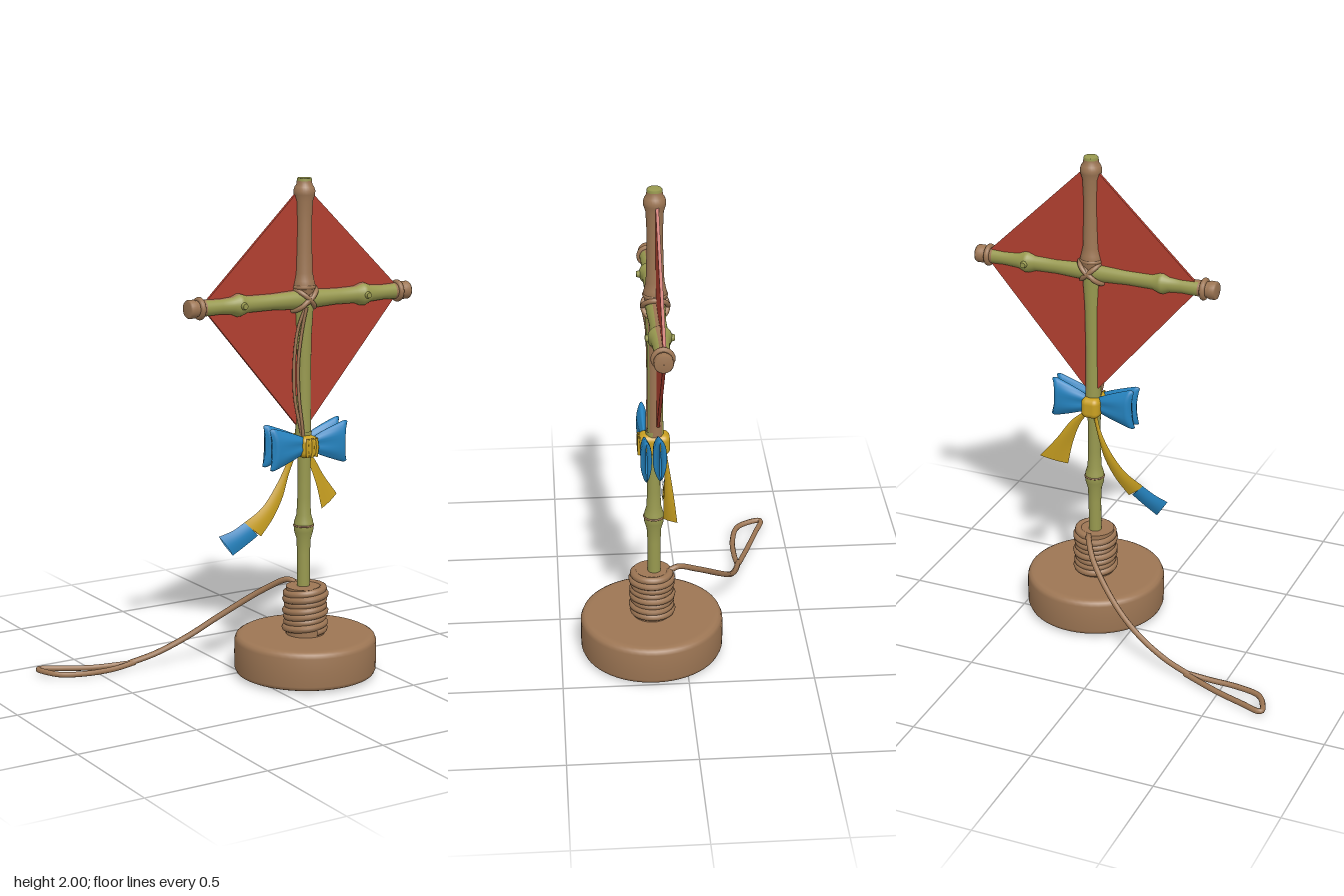
import * as THREE from 'three';
import { RoundedBoxGeometry } from 'three/addons/geometries/RoundedBoxGeometry.js';
import { ParametricGeometry } from 'three/addons/geometries/ParametricGeometry.js';

const V = (x, y, z) => new THREE.Vector3(x, y, z);
const material = (name, color, side = THREE.FrontSide) => {
  const m = new THREE.MeshStandardMaterial({ color, side });
  m.name = name;
  return m;
};

export function createModel() {
  const model = new THREE.Group();
  model.name = 'kiteOnStand';
  const brown = material('rope brown', 0x9d7654);
  const green = material('bamboo green', 0x98994f);
  const red = material('kite red', 0xb34030);
  const blue = material('ribbon blue', 0x2583bf, THREE.DoubleSide);
  const yellow = material('ribbon yellow', 0xc9a021, THREE.DoubleSide);

  const add = (name, geometry, mat, x = 0, y = 0, z = 0, parent = model) => {
    const mesh = new THREE.Mesh(geometry, mat);
    mesh.name = name;
    mesh.position.set(x, y, z);
    parent.add(mesh);
    return mesh;
  };
  // Profile points are [radius, height]
  const lathe = (points, start = 0, length = Math.PI * 2, segments = 28) =>
    new THREE.LatheGeometry(points.map(([r, h]) => new THREE.Vector2(r, h)), segments, start, length);
  const tube = (points, radius, segments = 60, closed = false) =>
    new THREE.TubeGeometry(new THREE.CatmullRomCurve3(points, closed), segments, radius, 8, closed);

  // Round base with softened edges
  add('base', lathe([[0.001, 0.012], [0.272, 0.012], [0.28, 0.016], [0.286, 0.03], [0.287, 0.09],
    [0.286, 0.145], [0.28, 0.16], [0.268, 0.167], [0.25, 0.168], [0.001, 0.168]], 0, Math.PI * 2, 56),
  brown, 0.225, 0, 0.132);

  // Wound rope around the foot of the pole
  add('ropeCore', new THREE.CylinderGeometry(0.078, 0.078, 0.2, 32), brown, 0.225, 0.265, 0.13);
  const coil = [];
  const turns = 7.5;
  for (let i = 0; i <= 180; i++) {
    const t = i / 180, a = t * turns * Math.PI * 2;
    const r = 0.075 + 0.004 * Math.sin(a * 0.37);
    coil.push(V(0.225 + Math.sin(a) * r, 0.182 + t * 0.178 + 0.006 * Math.sin(a + 1), 0.13 + Math.cos(a) * r));
  }
  add('ropeCoil', tube(coil, 0.0155, 420), brown);

  // Loose rope with a loop at its end
  add('looseRope', tube([V(0.225, 0.36, 0.06), V(0.21, 0.368, 0.025), V(0.15, 0.315, -0.06), V(0.0, 0.195, -0.17),
    V(-0.12, 0.115, -0.22), V(-0.25, 0.055, -0.255), V(-0.36, 0.025, -0.278)], 0.012), brown);
  add('ropeLoop', tube([V(-0.34, 0.026, -0.272), V(-0.44, 0.016, -0.267), V(-0.56, 0.016, -0.272), V(-0.66, 0.02, -0.302),
    V(-0.7, 0.022, -0.36), V(-0.711, 0.022, -0.405), V(-0.7, 0.022, -0.411), V(-0.62, 0.018, -0.38),
    V(-0.5, 0.014, -0.334), V(-0.34, 0.024, -0.275)], 0.0115, 90), brown);

  // Lower bamboo pole with a swollen node
  const pole = new THREE.Group();
  pole.name = 'pole';
  model.add(pole);
  add('lowerPole', lathe([[0.026, 0.34], [0.026, 0.5], [0.029, 0.56], [0.038, 0.59], [0.04, 0.61], [0.038, 0.63],
    [0.029, 0.66], [0.026, 0.73], [0.026, 0.85], [0.03, 1.0]]), green, 0.222, 0, 0.12, pole);
  add('poleNodeRing', new THREE.TorusGeometry(0.0385, 0.004, 8, 28).rotateX(Math.PI / 2), brown, 0.222, 0.615, 0.12, pole);

  // Middle pole: green with a brown stripe along its left side
  const middle = [[0.032, 0.98], [0.03, 1.06], [0.029, 1.2], [0.031, 1.38], [0.037, 1.48], [0.037, 1.55]];
  add('middlePole', lathe(middle, Math.PI * 0.78, Math.PI * 1.44), green, 0.222, 0, 0.112, pole);
  add('middlePoleStripe', lathe(middle, Math.PI * 0.22, Math.PI * 0.56, 10), brown, 0.222, 0, 0.112, pole);

  // Upper pole and its green tip
  add('upperPole', lathe([[0.036, 1.53], [0.044, 1.565], [0.046, 1.582], [0.041, 1.6], [0.035, 1.63], [0.032, 1.72],
    [0.03, 1.82], [0.034, 1.91], [0.042, 1.935], [0.043, 1.95], [0.038, 1.965], [0.031, 1.975], [0.03, 1.988]]),
  brown, 0.222, 0, 0.11, pole);
  add('poleTip', lathe([[0.029, 1.96], [0.029, 1.996], [0.026, 2.0], [0.001, 2.0]]), green, 0.222, 0, 0.11, pole);

  // Crossbar with two nodes; a worn brown stripe runs along its top
  const crossbar = new THREE.Group();
  crossbar.name = 'crossbar';
  crossbar.position.set(0.208, 1.525, 0.11);
  crossbar.rotation.z = -Math.PI / 2;
  model.add(crossbar);
  const bar = [[0.033, -0.47], [0.03, -0.37], [0.034, -0.32], [0.045, -0.295], [0.044, -0.28], [0.033, -0.25],
    [0.032, -0.14], [0.037, -0.04], [0.037, 0.06], [0.032, 0.16], [0.034, 0.25], [0.045, 0.28],
    [0.046, 0.295], [0.034, 0.325], [0.03, 0.39], [0.033, 0.47]];
  add('bar', lathe(bar, Math.PI * 1.62, Math.PI * 1.76), green, 0, 0, 0, crossbar);
  add('barTopStripe', lathe(bar, Math.PI * 1.38, Math.PI * 0.24, 6), brown, 0, 0, 0, crossbar);
  for (const s of [-1, 1]) {
    const cap = [[0.001, 0.514], [0.032, 0.514], [0.036, 0.508], [0.036, 0.485], [0.031, 0.475], [0.033, 0.44]];
    const points = cap.map(([r, h]) => [r, h * s]);
    add('barEnd', lathe(s > 0 ? points.reverse() : points), brown, 0, 0, 0, crossbar);
    add('barEndRing', new THREE.TorusGeometry(0.034, 0.011, 10, 28).rotateX(Math.PI / 2), brown, 0, s * 0.461, 0, crossbar);
  }
  // Small twig stubs on the nodes
  for (const [h, z] of [[-0.285, 0.04], [0.29, -0.04], [0.29, 0.04]]) {
    const stub = add('twigStub', new THREE.CylinderGeometry(0.011, 0.02, 0.03, 12), green, 0, h, z, crossbar);
    stub.rotation.x = z > 0 ? Math.PI / 2 : -Math.PI / 2;
  }

  // Diamond kite sail
  const sail = new THREE.Shape([[-0.24, 1.53], [0.222, 0.99], [0.685, 1.53], [0.222, 1.975]]
    .map(([x, y]) => new THREE.Vector2(x, y)));
  add('sail', new THREE.ExtrudeGeometry(sail, { depth: 0.012, bevelEnabled: false }), red, 0, 0, 0.097);

  // Crossed lashing where pole and bar meet
  const lashing = new THREE.Group();
  lashing.name = 'lashing';
  lashing.position.set(0.222, 1.527, 0.11);
  model.add(lashing);
  for (const [tilt, shift] of [[0.75, 0.008], [0.75, -0.012], [-0.75, 0]]) {
    const ring = add('lashingRing', new THREE.TorusGeometry(0.047, 0.01, 8, 36).rotateX(Math.PI / 2), brown,
      shift, shift * 0.6, 0, lashing);
    ring.rotation.z = tilt;
    ring.scale.x = 1.12;
  }
  add('lashingCollar', new THREE.TorusGeometry(0.04, 0.009, 8, 32).rotateX(Math.PI / 2), brown, 0, 0.048, 0, lashing);

  // Slack cords hanging beside the pole
  for (const [dx, z] of [[0, 0.135], [0.015, 0.142]]) {
    add('cord', tube([V(0.208, 1.5, z + 0.012), V(0.182 + dx, 1.42, z), V(0.166 + dx, 1.28, z - 0.005),
      V(0.17 + dx, 1.14, z - 0.005), V(0.19 + dx * 0.5, 1.03, z), V(0.205, 0.97, z)], 0.0065, 40), brown);
  }

  // Bow: two flared, pillow-shaped lobes on either side of the knot
  const lobe = (depth, side) => new ParametricGeometry((u, v, p) => {
    const a = v * Math.PI * 2;
    const end = u > 0.84 ? Math.sqrt(Math.max(0.004, 1 - ((u - 0.84) / 0.16) ** 2)) : 1;
    const h = 0.032 + 0.054 * Math.min(1, u * 1.1) ** 0.85;
    const d = (0.011 + depth * Math.sin(Math.min(1, u * 1.3) * Math.PI / 2)) * end;
    const crease = 1 - 0.3 * (1 - u) * Math.cos(a * 3) ** 2;
    p.set(side * (0.025 + 0.157 * u - 0.012 * u * Math.cos(a) ** 2),
      Math.sin(a) * h * (0.92 + 0.08 * end), Math.cos(a) * d * crease);
  }, 24, 32);
  for (const side of [-1, 1]) {
    const f = add('bowLobeFront', lobe(0.012, side), blue, 0.22, 0.95, 0.157);
    f.rotation.z = side * -0.02;
    const b = add('bowLobeBack', lobe(0.017, side), blue, 0.22, 0.948, 0.104);
    b.rotation.z = side * 0.03;
  }
  add('bowKnot', new RoundedBoxGeometry(0.078, 0.088, 0.124, 4, 0.025), yellow, 0.22, 0.941, 0.118);
  for (const dx of [-0.018, 0.004, 0.022]) {
    add('knotFold', tube([V(0.22 + dx, 0.903, 0.177), V(0.22 + dx * 1.2, 0.94, 0.178), V(0.22 + dx, 0.978, 0.177)], 0.006, 12), yellow);
  }

  // Ribbon tails, each a strip between two edge curves
  const ribbon = (name, edgeA, edgeB, mat, swell = 0.006) => {
    const a = new THREE.CatmullRomCurve3(edgeA), b = new THREE.CatmullRomCurve3(edgeB);
    for (const s of [-1, 1]) {
      add(name, new ParametricGeometry((u, v, p) => {
        p.lerpVectors(a.getPoint(u), b.getPoint(u), v);
        p.z += s * swell * Math.sin(v * Math.PI);
      }, 24, 8), mat);
    }
  };
  ribbon('rightTail',
    [V(0.19, 0.93, 0.075), V(0.172, 0.86, 0.066), V(0.125, 0.77, 0.06), V(0.06, 0.69, 0.06), V(-0.022, 0.64, 0.058)],
    [V(0.215, 0.92, 0.085), V(0.18, 0.81, 0.07), V(0.155, 0.73, 0.07), V(0.11, 0.65, 0.072), V(0.05, 0.58, 0.074)], yellow);
  ribbon('rightTailTip',
    [V(-0.018, 0.642, 0.058), V(-0.07, 0.615, 0.055), V(-0.13, 0.597, 0.048)],
    [V(0.035, 0.585, 0.074), V(-0.015, 0.553, 0.07), V(-0.077, 0.517, 0.066)], blue, 0.009);
  ribbon('leftTail',
    [V(0.25, 0.92, 0.075), V(0.3, 0.875, 0.065), V(0.36, 0.79, 0.052), V(0.432, 0.702, 0.042)],
    [V(0.235, 0.91, 0.085), V(0.265, 0.865, 0.08), V(0.302, 0.77, 0.085), V(0.328, 0.662, 0.09)], yellow);

  return model;
}
